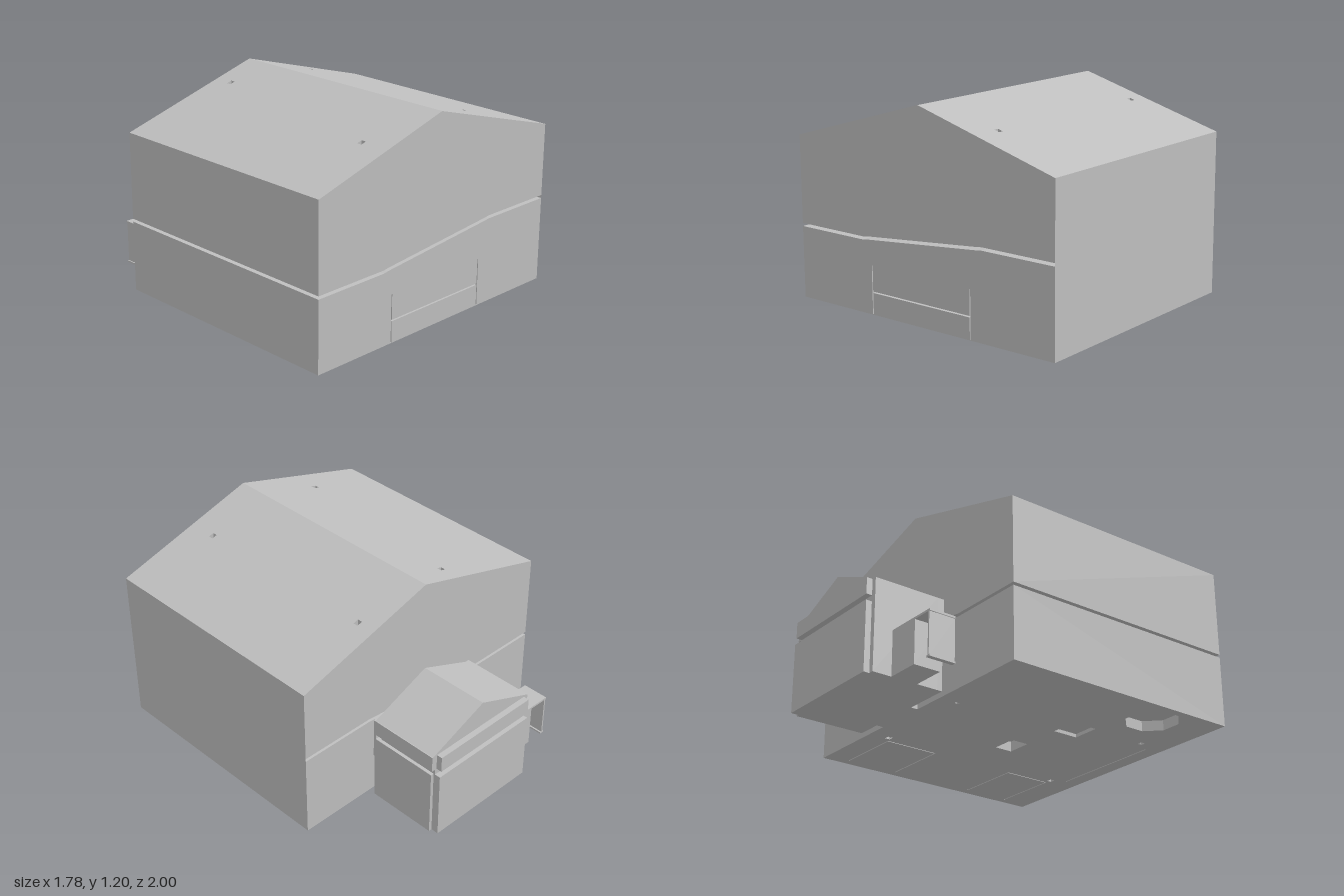
import * as THREE from 'three';
import { mergeGeometries } from 'three/addons/utils/BufferGeometryUtils.js';

const W = 0.89, BACK = -0.49, FRONT = 1, EAVE = 0.94, RIDGE = 1.2;
const v3 = (x, y, z) => new THREE.Vector3(x, y, z);
const rect = (x0, y0, x1, y1) => [[x0, y0], [x1, y0], [x1, y1], [x0, y1]];
const path = (pts) => pts.map(([x, y]) => new THREE.Vector2(x, y));

// Strip of flat faces following a path in xy, from z = a to z = b
function ribbon(pts, a, b) {
  const g = new THREE.PlaneGeometry(1, 1, pts.length - 1, 1);
  const p = g.attributes.position;
  pts.forEach(([x, y], i) => {
    p.setXYZ(i, x, y, a);
    p.setXYZ(i + pts.length, x, y, b);
  });
  const flat = g.toNonIndexed();
  flat.computeVertexNormals();
  return flat;
}

// Flat face with holes; each hole gets walls of its depth and, unless open, an end cap
function panel(outline, holes, basis, origin) {
  const shape = new THREE.Shape(path(outline));
  const parts = [];
  for (const { pts, depth, open } of holes) {
    shape.holes.push(new THREE.Path(path(pts)));
    if (depth) parts.push(ribbon([...pts, pts[0]], 0, -depth));
    if (!open) {
      const cap = new THREE.ShapeGeometry(new THREE.Shape(path(pts))).toNonIndexed();
      parts.push(cap.translate(0, 0, -depth));
    }
  }
  parts.push(new THREE.ShapeGeometry(shape).toNonIndexed());
  const m = new THREE.Matrix4().makeBasis(...basis).setPosition(origin);
  return mergeGeometries(parts).applyMatrix4(m);
}

export function createModel() {
  const model = new THREE.Group();
  const grey = new THREE.MeshStandardMaterial({ color: 0xbfbfbf, side: THREE.DoubleSide });
  grey.name = 'plain grey';

  const add = (name, geometry) => {
    const mesh = new THREE.Mesh(geometry, grey);
    mesh.name = name;
    model.add(mesh);
  };
  const box = (name, x0, x1, y0, y1, z0, z1) =>
    add(name, new THREE.BoxGeometry(x1 - x0, y1 - y0, z1 - z0)
      .translate((x0 + x1) / 2, (y0 + y1) / 2, (z0 + z1) / 2));

  // Stepped slit dividing the hall into lower and upper halves
  const slitLow = [[-W, 0.415], [-0.42, 0.415], [-0.39, 0.42], [0.39, 0.493], [0.42, 0.497], [W, 0.497]];
  const slitHigh = slitLow.map(([x, y]) => [x, y + 0.018]);
  const lower = [[-W, 0], [W, 0], ...[...slitLow].reverse()];
  const upper = [...slitHigh, [W, EAVE], [0, RIDGE], [-W, EAVE]];

  // Front wall with an H-shaped door groove
  const a = -0.358, b = -0.352, c = 0.337, d = 0.343, top = 0.28;
  const doorGroove = [[a, 0.003], [b, 0.003], [b, 0.125], [c, 0.125], [c, 0.003], [d, 0.003],
    [d, top], [c, top], [c, 0.133], [b, 0.133], [b, top], [a, top]];
  const ahead = [v3(1, 0, 0), v3(0, 1, 0), v3(0, 0, 1)];
  add('lowerFrontWall', panel(lower, [{ pts: doorGroove, depth: 0.1 }], ahead, v3(0, 0, FRONT)));
  add('upperFrontWall', panel(upper, [], ahead, v3(0, 0, FRONT)));

  // Back wall
  const mirror = (pts) => pts.map(([x, y]) => [-x, y]).reverse();
  const behind = [v3(-1, 0, 0), v3(0, 1, 0), v3(0, 0, -1)];
  add('lowerBackWall', panel(mirror(lower), [], behind, v3(0, 0, BACK)));
  add('upperBackWall', panel(mirror(upper), [], behind, v3(0, 0, BACK)));

  // Side walls and the inside of the slit
  add('lowerRightWallAndSlit', ribbon([[-W, 0], ...slitLow], BACK, FRONT));
  add('upperRightWallAndSlit', ribbon([[-W, EAVE], ...slitHigh], BACK, FRONT));
  add('leftWall', ribbon([[W, EAVE], [W, 0]], BACK, FRONT));

  // Roof slopes, pierced by shafts that run down through the floor
  const slope = (RIDGE - EAVE) / W;
  const shafts = [[-0.25, -0.37], [0.39, -0.37], [-0.41, 0.82], [0.39, 0.82]];
  const hx = 0.016, hz = 0.015;
  for (const side of [-1, 1]) {
    const holes = shafts.filter(([x]) => x * side > 0).map(([x, z]) => {
      const u = -side * z, v = -side * x;
      return {
        pts: rect(u - hz, v - hx, u + hz, v + hx),
        depth: RIDGE - slope * (Math.abs(x) + hx), open: true,
      };
    });
    const outline = side > 0 ? rect(-FRONT, -W, -BACK, 0) : rect(BACK, -W, FRONT, 0);
    add(side > 0 ? 'leftRoof' : 'rightRoof', panel(outline, holes,
      [v3(0, 0, -side), v3(-side, slope, 0), v3(0, 1, 0)], v3(0, RIDGE, 0)));
  }

  // Floor with shaft mouths, recesses and panel grooves
  const octagon = [];
  for (let i = 0; i < 8; i++) {
    const t = (i + 0.5) * Math.PI / 4;
    octagon.push([-0.7 + 0.155 * Math.cos(t), 0.63 + 0.155 * Math.sin(t)]);
  }
  const floorHoles = [
    ...shafts.map(([x, z]) => ({ pts: rect(x - hx, z - hz, x + hx, z + hz), depth: 0, open: true })),
    { pts: octagon, depth: 0.06 },
    { pts: rect(-0.425, 0.3, -0.26, 0.46), depth: 0.02 },
    { pts: rect(-0.01, 0.2, 0.14, 0.31), depth: 0.06 },
    { pts: rect(-0.355, 0.9, 0.34, 0.907), depth: 0.1 },
  ];
  for (const [z0, z1] of [[-0.35, -0.015], [0.52, 0.82]]) {
    const t = 0.007;
    floorHoles.push({
      pts: [[0.43, z0], [0.84, z0], [0.84, z0 + t], [0.43 + t, z0 + t],
        [0.43 + t, z1 - t], [0.84, z1 - t], [0.84, z1], [0.43, z1]],
      depth: 0.05,
    });
  }
  add('floor', panel(rect(-W, BACK, W, FRONT), floorHoles,
    [v3(1, 0, 0), v3(0, 0, 1), v3(0, -1, 0)], v3(0, 0, 0)));

  // Annex: core, raised wall panels and eaves bands
  box('annexCore', -0.34, 0.4, 0, 0.535, -0.965, -0.565);
  box('annexSidePanel', 0.4, 0.42, 0, 0.405, -0.955, -0.56);
  box('annexSideBand', 0.4, 0.425, 0.44, 0.535, -0.965, -0.53);
  box('annexBackPanel', -0.31, 0.4, 0, 0.405, -1, -0.965);
  box('annexBackBand', -0.31, 0.39, 0.44, 0.535, -1, -0.965);
  box('annexInnerPanel', -0.34, 0.42, 0, 0.405, -0.565, -0.532);
  box('annexInnerBand', -0.34, 0.42, 0.44, 0.535, -0.565, -0.54);
  for (const [x0, x1] of [[-0.34, -0.1], [0.31, 0.42]])
    box('annexTrim', x0, x1, 0.28, 0.535, -0.54, -0.525);

  // Annex gable roof
  const gable = new THREE.Shape(path([[-0.34, 0.535], [0.42, 0.535], [0.04, 0.69]]));
  add('annexRoof', new THREE.ExtrudeGeometry(gable, { depth: 0.425, bevelEnabled: false })
    .translate(0, 0, -0.965));

  // Link between hall and annex
  box('link', -0.06, 0.27, 0, 0.245, -0.54, BACK);

  // Side porch: block, thin canopy, end leg and foot lip
  box('porchBlock', -0.54, -0.34, 0, 0.25, -0.85, -0.69);
  box('porchCanopy', -0.67, -0.34, 0.25, 0.262, -0.85, -0.69);
  box('porchLeg', -0.665, -0.655, 0, 0.25, -0.85, -0.69);
  box('porchFoot', -0.672, -0.645, 0, 0.01, -0.85, -0.69);

  return model;
}
